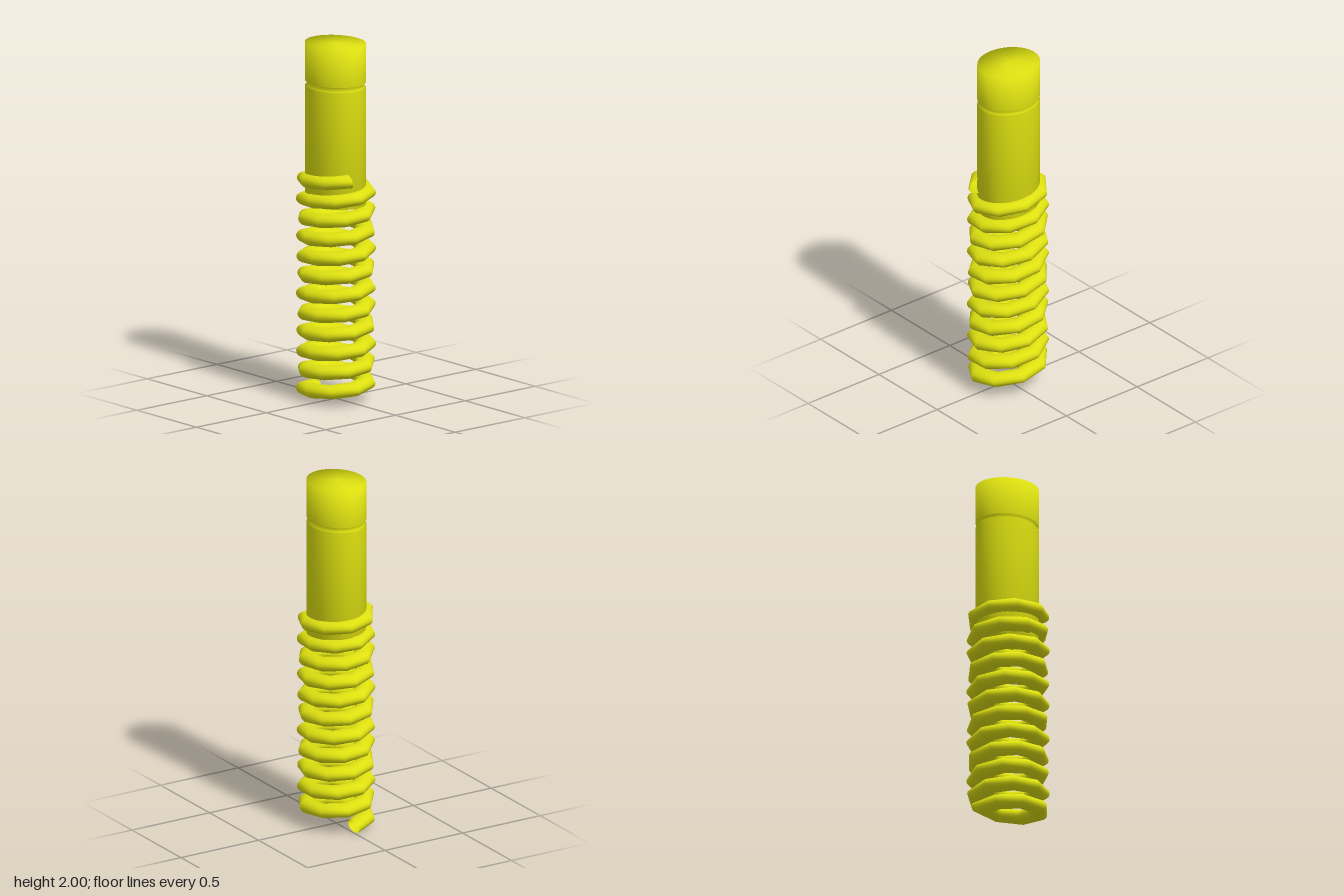
import * as THREE from 'three';

// Helix around y: starts at the back, climbs by way of -x
class Helix extends THREE.Curve {
  constructor(radius, turns, y0, y1) {
    super();
    Object.assign(this, { radius, turns, y0, y1 });
    this.arcLengthDivisions = 1000;
  }
  getPoint(t, target = new THREE.Vector3()) {
    const a = t * this.turns * Math.PI * 2;
    return target.set(
      -Math.sin(a) * this.radius,
      THREE.MathUtils.lerp(this.y0, this.y1, t),
      -Math.cos(a) * this.radius
    );
  }
}

export function createModel() {
  const group = new THREE.Group();
  const material = new THREE.MeshStandardMaterial({ color: 0xdde010, side: THREE.DoubleSide });
  const depth = 1.155; // the whole part is slightly deeper than wide
  const squash = 0.76; // the wire is flattened in height

  // Plunger: long body, narrow groove and cap in one turned profile
  const profile = [
    [0, 1.1], [0.156, 1.1], [0.156, 1.755], [0.143, 1.755],
    [0.143, 1.785], [0.156, 1.785], [0.156, 2], [0, 2],
  ].map(([r, y]) => new THREE.Vector2(r, y));
  const plunger = new THREE.Mesh(new THREE.LatheGeometry(profile, 64), material);
  plunger.name = 'plunger';
  plunger.scale.z = depth;
  plunger.position.z = -0.004;
  group.add(plunger);

  // Coil spring: coarse segments along the wire, round section
  const helix = new Helix(0.155, 11.446, 0.038 / squash, 1.26 / squash);
  const wire = new THREE.TubeGeometry(helix, 96, 0.05, 20, false);
  wire.scale(1, squash, depth);
  const spring = new THREE.Mesh(wire, material);
  spring.name = 'spring';
  group.add(spring);

  return group;
}
